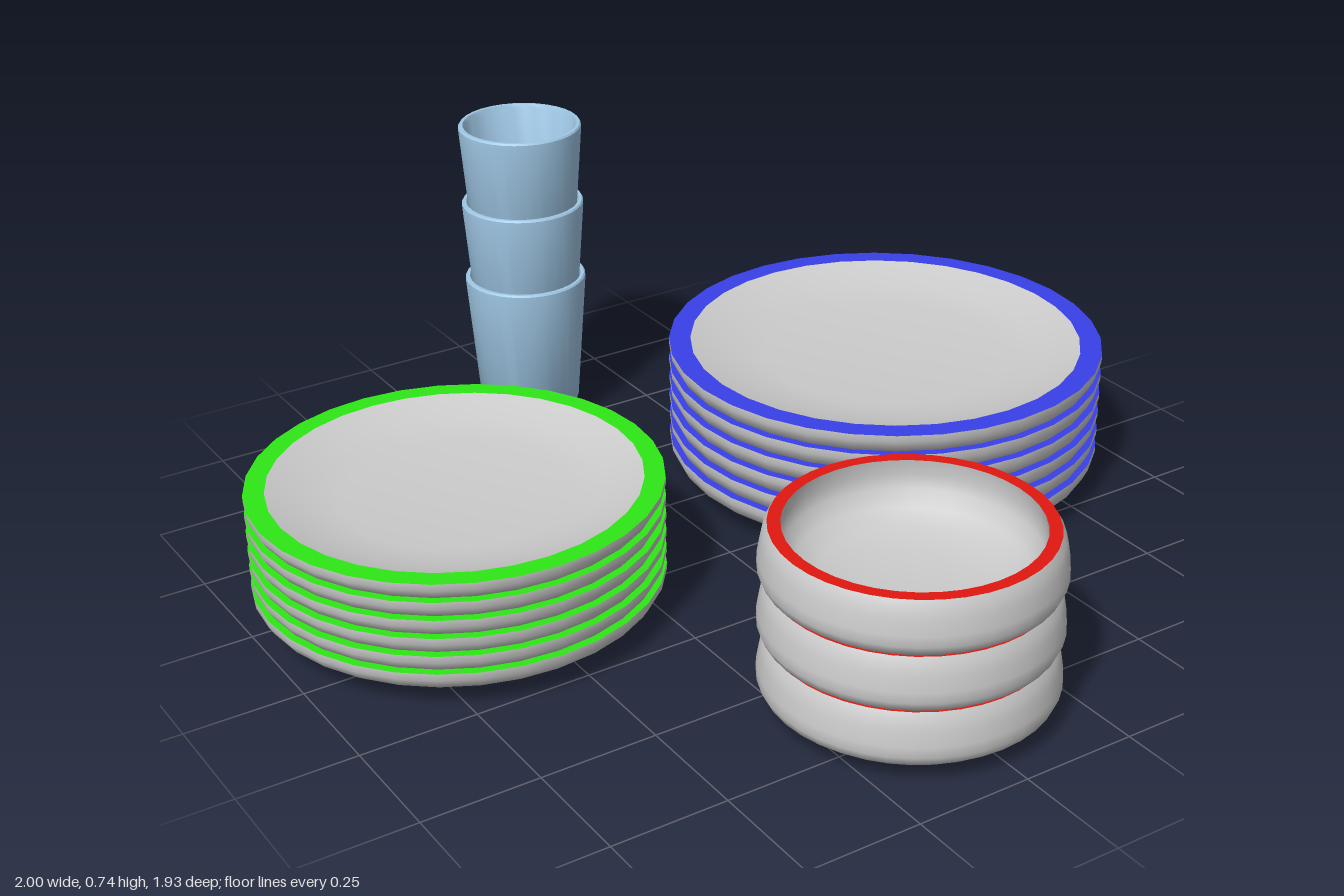
import * as THREE from 'three';
import { toCreasedNormals } from 'three/addons/utils/BufferGeometryUtils.js';

const mat = (color) => new THREE.MeshStandardMaterial({ color });
const grey = mat(0xcccccc);
const green = mat(0x2ee815);
const blue = mat(0x3840e8);
const red = mat(0xe01810);
const glass = mat(0xa0c8e6);

// Turned part from [radius, height] pairs, running up the outside and down the inside
function turned(name, points, material, segments = 32) {
  const profile = points.map(([r, y]) => new THREE.Vector2(r, y));
  const geometry = toCreasedNormals(new THREE.LatheGeometry(profile, segments), 0.6);
  const mesh = new THREE.Mesh(geometry, material);
  mesh.name = name;
  return mesh;
}

// Repeats one piece upwards
function stack(name, piece, count, step, x, y, z) {
  const group = new THREE.Group();
  group.name = name;
  for (let i = 0; i < count; i++) {
    const copy = piece.clone();
    copy.position.y = i * step;
    group.add(copy);
  }
  group.position.set(x, y, z);
  return group;
}

function piece(name, ...parts) {
  const group = new THREE.Group();
  group.name = name;
  group.add(...parts);
  return group;
}

// Shallow plate with a flat coloured rim
function plate(name, radius, rim, floor, height, color) {
  const inner = radius - rim;
  const mid = (inner + floor) / 2;
  return piece(name,
    turned('plateOutside', [[0, 0], [radius - 0.025, 0], [radius - 0.012, 0.01], [radius, height - 0.015], [radius, height]], grey),
    turned('plateRim', [[radius, height], [inner, height]], color),
    turned('plateInside', [[inner, height], [mid, height - 0.026], [floor, height - 0.036], [0, height - 0.036]], grey));
}

// Rounded bowl with a coloured rim and foot
function bowl() {
  return piece('bowl',
    turned('bowlFoot', [[0, 0], [0.15, 0], [0.15, 0.02]], red),
    turned('bowlOutside', [[0.14, 0.016], [0.19, 0.018], [0.235, 0.023], [0.268, 0.034], [0.289, 0.05],
      [0.297, 0.068], [0.296, 0.09], [0.291, 0.12], [0.286, 0.143], [0.278, 0.157]], grey, 40),
    turned('bowlRim', [[0.278, 0.157], [0.252, 0.157]], red, 40),
    turned('bowlInside', [[0.252, 0.157], [0.256, 0.125], [0.25, 0.095], [0.225, 0.066], [0.18, 0.046],
      [0.1, 0.036], [0, 0.033]], grey, 40));
}

// Tapered tumbler with a softened lip
function cup() {
  return piece('cup', turned('cupBody', [[0, 0], [0.113, 0], [0.116, 0.005], [0.14, 0.308], [0.14, 0.316],
    [0.137, 0.32], [0.13, 0.32], [0.126, 0.313], [0.107, 0.02], [0, 0.02]], glass));
}

export function createModel() {
  const model = new THREE.Group();
  model.name = 'tableware';
  model.add(
    stack('smallPlates', plate('smallPlate', 0.428, 0.043, 0.235, 0.045, green), 6, 0.04, -0.574, 0.046, -0.145),
    stack('largePlates', plate('largePlate', 0.486, 0.048, 0.27, 0.05, blue), 6, 0.045, 0.513, 0.05, -0.145),
    stack('bowls', bowl(), 3, 0.119, -0.026, 0, 0.667),
    stack('cups', cup(), 3, 0.185, -0.027, 0.045, -0.83));
  return model;
}
